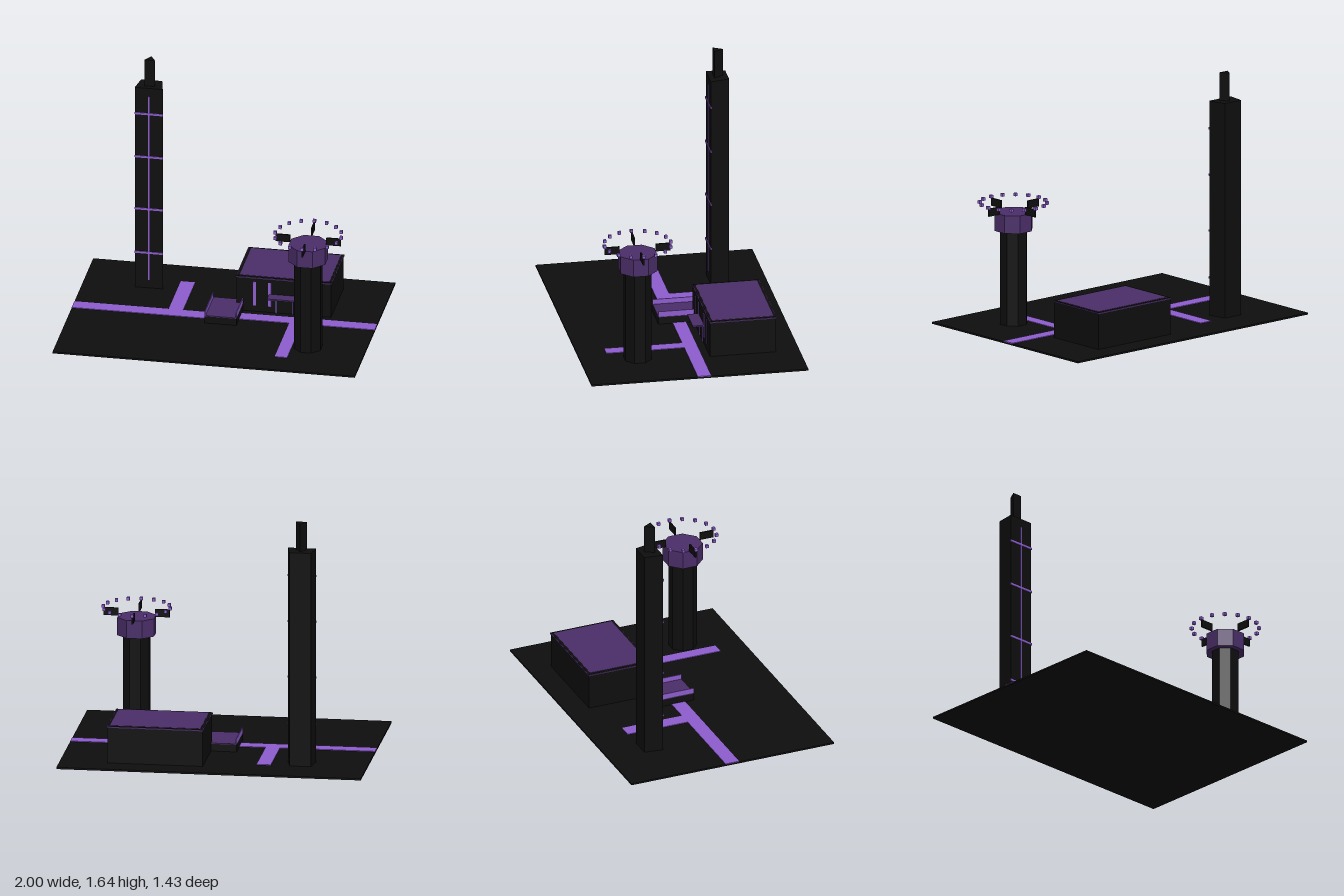
import * as THREE from 'three';

const material = (name, color) => {
  const m = new THREE.MeshStandardMaterial({ color });
  m.name = name;
  return m;
};

export function createModel() {
  const black = material('black', 0x0e0e0e);
  const plum = material('plum', 0x4a2e68);
  const violet = material('violet', 0x8d5dce);

  const model = new THREE.Group();
  model.name = 'compound';

  const group = (name) => {
    const g = new THREE.Group();
    g.name = name;
    model.add(g);
    return g;
  };
  const add = (parent, name, geometry, mat) => {
    const mesh = new THREE.Mesh(geometry, mat);
    mesh.name = name;
    parent.add(mesh);
    return mesh;
  };
  // Box given by its lower and upper bounds on each axis
  const box = (parent, name, mat, [x0, x1], [y0, y1], [z0, z1]) => {
    const mesh = add(parent, name, new THREE.BoxGeometry(x1 - x0, y1 - y0, z1 - z0), mat);
    mesh.position.set((x0 + x1) / 2, (y0 + y1) / 2, (z0 + z1) / 2);
    return mesh;
  };
  // Faceted upright prism
  const prism = (parent, name, mat, radius, sides, turn, y0, y1) => {
    const geo = new THREE.CylinderGeometry(radius, radius, y1 - y0, sides).toNonIndexed();
    geo.rotateY(turn);
    geo.computeVertexNormals();
    const mesh = add(parent, name, geo, mat);
    mesh.position.y = (y0 + y1) / 2;
    return mesh;
  };

  // Ground and paths
  const site = group('site');
  box(site, 'ground', black, [-1, 1], [0, 0.012], [-0.717, 0.717]);
  const path = (name, x, z) => box(site, name, violet, x, [0.011, 0.016], z);
  path('westPath', [-1, -0.1], [-0.05, 0.045]);
  path('eastPath', [0.1, 1], [-0.075, 0.015]);
  path('tallTowerPath', [-0.375, -0.28], [-0.475, -0.05]);
  path('roundTowerPath', [0.435, 0.517], [0.015, 0.53]);

  // Tall tower with a trapezoid footprint
  const tall = group('tallTower');
  const footprint = new THREE.Shape([
    [-0.655, 0.345], [-0.47, 0.345], [-0.497, 0.47], [-0.637, 0.47],
  ].map(([x, y]) => new THREE.Vector2(x, y)));
  const shaft = new THREE.ExtrudeGeometry(footprint, { depth: 1.44, bevelEnabled: false });
  shaft.rotateX(-Math.PI / 2);
  add(tall, 'tallTowerShaft', shaft, black).position.y = 0.01;
  const mast = prism(tall, 'mast', black, 0.041, 3, Math.PI, 1.45, 1.637);
  mast.position.x = -0.563;
  mast.position.z = -0.4;
  box(tall, 'verticalLight', violet, [-0.568, -0.558], [0.07, 1.39], [-0.347, -0.341]);
  for (const y of [0.266, 0.58, 0.955, 1.265]) {
    box(tall, 'bandLight', violet, [-0.657, -0.468], [y - 0.007, y + 0.007], [-0.347, -0.34]);
  }

  // Octagonal tower with a crown
  const round = group('octagonTower');
  round.position.set(0.622, 0, 0.343);
  prism(round, 'octagonShaft', black, 0.0935, 8, Math.PI / 8, 0.01, 0.64);
  prism(round, 'octagonCap', plum, 0.131, 8, Math.PI / 8, 0.64, 0.76);
  for (let i = 0; i < 4; i++) {
    const arm = new THREE.Group();
    arm.name = 'arm';
    arm.rotation.y = i * Math.PI / 2;
    round.add(arm);
    box(arm, 'fin', black, [0.12, 0.217], [0.76, 0.812], [-0.005, 0.005]);
  }
  for (let i = 0; i < 16; i++) {
    const a = i * Math.PI / 8;
    const light = add(round, 'crownLight', new THREE.BoxGeometry(0.02, 0.02, 0.02), violet);
    light.position.set(0.219 * Math.cos(a), 0.82, 0.219 * Math.sin(a));
  }

  // House with a bordered flat roof
  const house = group('house');
  box(house, 'houseBody', black, [0.06, 0.685], [0.01, 0.25], [-0.562, -0.125]);
  box(house, 'roofSlab', plum, [0.055, 0.692], [0.25, 0.257], [-0.568, -0.12]);
  box(house, 'roofBorder', black, [0.06, 0.687], [0.256, 0.259], [-0.563, -0.125]);
  box(house, 'roofPanel', plum, [0.078, 0.672], [0.257, 0.261], [-0.547, -0.14]);
  for (const x of [0.18, 0.28, 0.47, 0.57]) {
    box(house, 'windowStrip', violet, [x - 0.01, x + 0.01], [0.055, 0.225], [-0.127, -0.121]);
  }
  box(house, 'canopy', plum, [0.275, 0.473], [0.134, 0.144], [-0.125, -0.05]);
  for (const x of [0.321, 0.429]) {
    box(house, 'doorPost', violet, [x - 0.003, x + 0.003], [0.012, 0.125], [-0.127, -0.121]);
  }
  box(house, 'doorLintel', violet, [0.318, 0.432], [0.119, 0.125], [-0.127, -0.121]);

  // Low platform with side rails
  const platform = group('platform');
  box(platform, 'platformBase', black, [-0.108, 0.102], [0.01, 0.06], [-0.178, 0.109]);
  box(platform, 'platformDeck', plum, [-0.108, 0.102], [0.06, 0.066], [-0.178, 0.109]);
  for (const x of [-0.105, 0.099]) {
    box(platform, 'platformRail', violet, [x - 0.003, x + 0.003], [0.064, 0.1], [-0.178, 0.109]);
  }

  return model;
}
